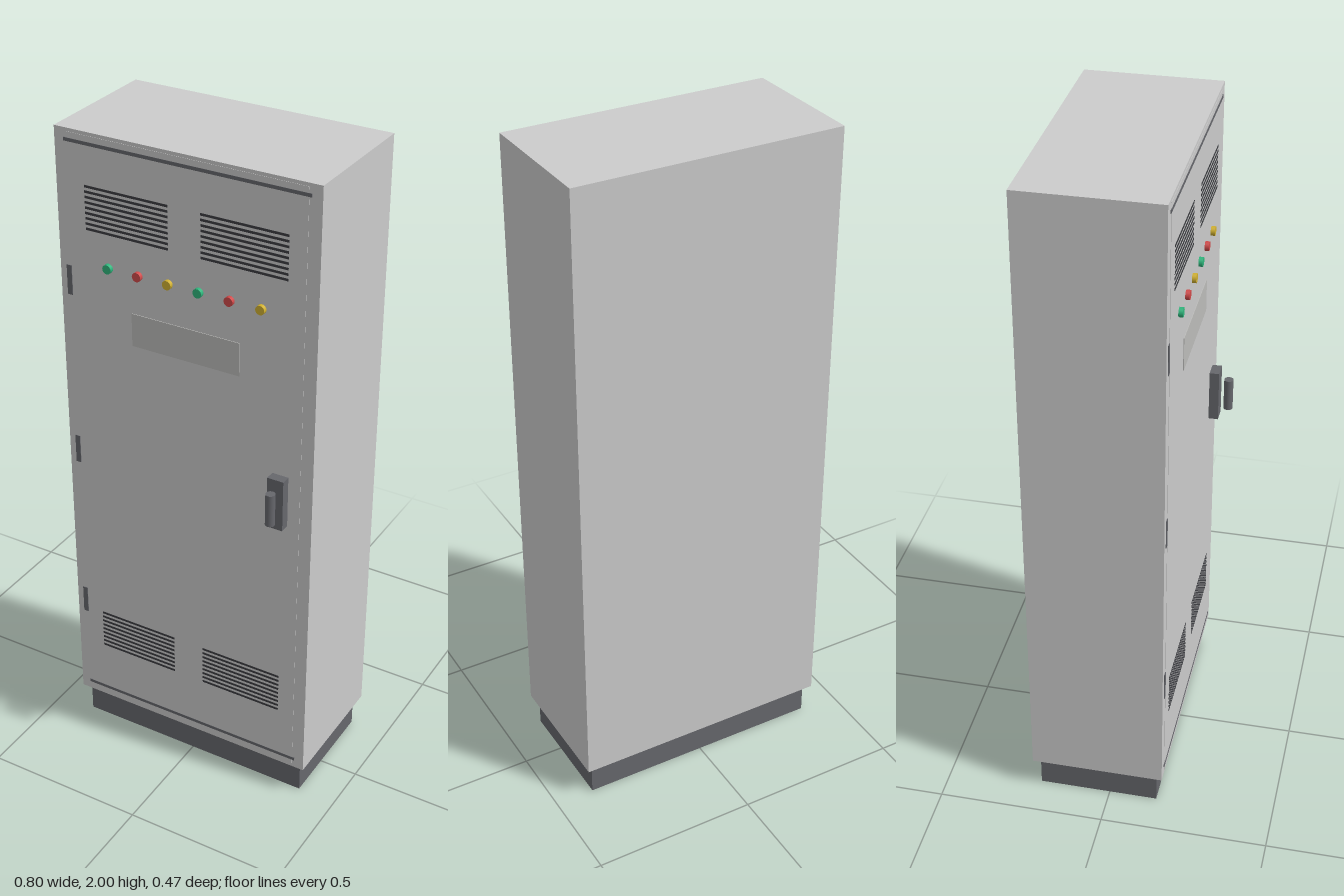
import * as THREE from 'three';

const mat = (color) => new THREE.MeshStandardMaterial({ color });

export function createModel() {
  const cabinet = new THREE.Group();
  cabinet.name = 'electricalCabinet';
  const grey = mat(0xcccccc), dark = mat(0x66676c), black = mat(0x3c3d41);
  const plateGrey = mat(0xbcbcba);
  const lampMats = [mat(0x2fb57c), mat(0xd04a4a), mat(0xd0b030)];
  const front = 0.165; // z of the cabinet face

  const add = (name, geometry, material, x, y, z, parent = cabinet) => {
    const mesh = new THREE.Mesh(geometry, material);
    mesh.name = name;
    mesh.position.set(x, y, z);
    parent.add(mesh);
    return mesh;
  };
  const box = (name, w, h, d, material, x, y, z, parent) =>
    add(name, new THREE.BoxGeometry(w, h, d), material, x, y, z, parent);
  // Thin fitting whose front stands proud of the cabinet face
  const fitting = (name, w, h, proud, material, x, y, parent) =>
    box(name, w, h, proud + 0.004, material, x, y, front + proud / 2 - 0.002, parent);

  // Housing on a recessed plinth
  box('plinth', 0.76, 0.1, 0.36, dark, 0, 0.05, -0.035);
  box('housing', 0.8, 1.9, 0.4, grey, 0, 1.05, -0.035);

  // Door skin with seals across its top and bottom
  fitting('door', 0.724, 1.88, 0.001, grey, 0, 1.05);
  for (const side of [-1, 1]) {
    fitting('doorSeal', 0.74, 0.01, 0.002, dark, 0, 1.05 + side * 0.918);
  }

  // Louvre banks, upper and lower pairs
  for (const y of [0.365, 1.785]) {
    for (const x of [-0.18, 0.18]) {
      const vent = new THREE.Group();
      vent.name = 'vent';
      cabinet.add(vent);
      for (let i = -4; i <= 4; i++) {
        fitting('ventSlat', 0.26, 0.007, 0.002, black, x, y + i * 0.0154, vent);
      }
    }
  }

  // Row of indicator lamps
  for (let i = 0; i < 6; i++) {
    const lamp = new THREE.CylinderGeometry(0.0135, 0.0135, 0.014, 24).rotateX(Math.PI / 2);
    add('indicatorLamp', lamp, lampMats[i % 3], -0.2405 + i * 0.095, 1.622, front + 0.006);
  }

  // Blank label plate
  fitting('labelPlate', 0.34, 0.1, 0.003, plateGrey, 0, 1.453);

  // Hinges on the model's right edge
  for (const y of [0.455, 1.005, 1.555]) {
    fitting('hinge', 0.016, 0.09, 0.002, dark, -0.372, y);
  }

  // Handle: mounting block and upright grip
  const handle = new THREE.Group();
  handle.name = 'handle';
  cabinet.add(handle);
  box('handleBase', 0.05, 0.16, 0.03, dark, 0.3, 1.05, front + 0.015, handle);
  add('handleGrip', new THREE.CylinderGeometry(0.014, 0.014, 0.1, 24), dark, 0.3, 1.05, 0.221, handle);

  return cabinet;
}
